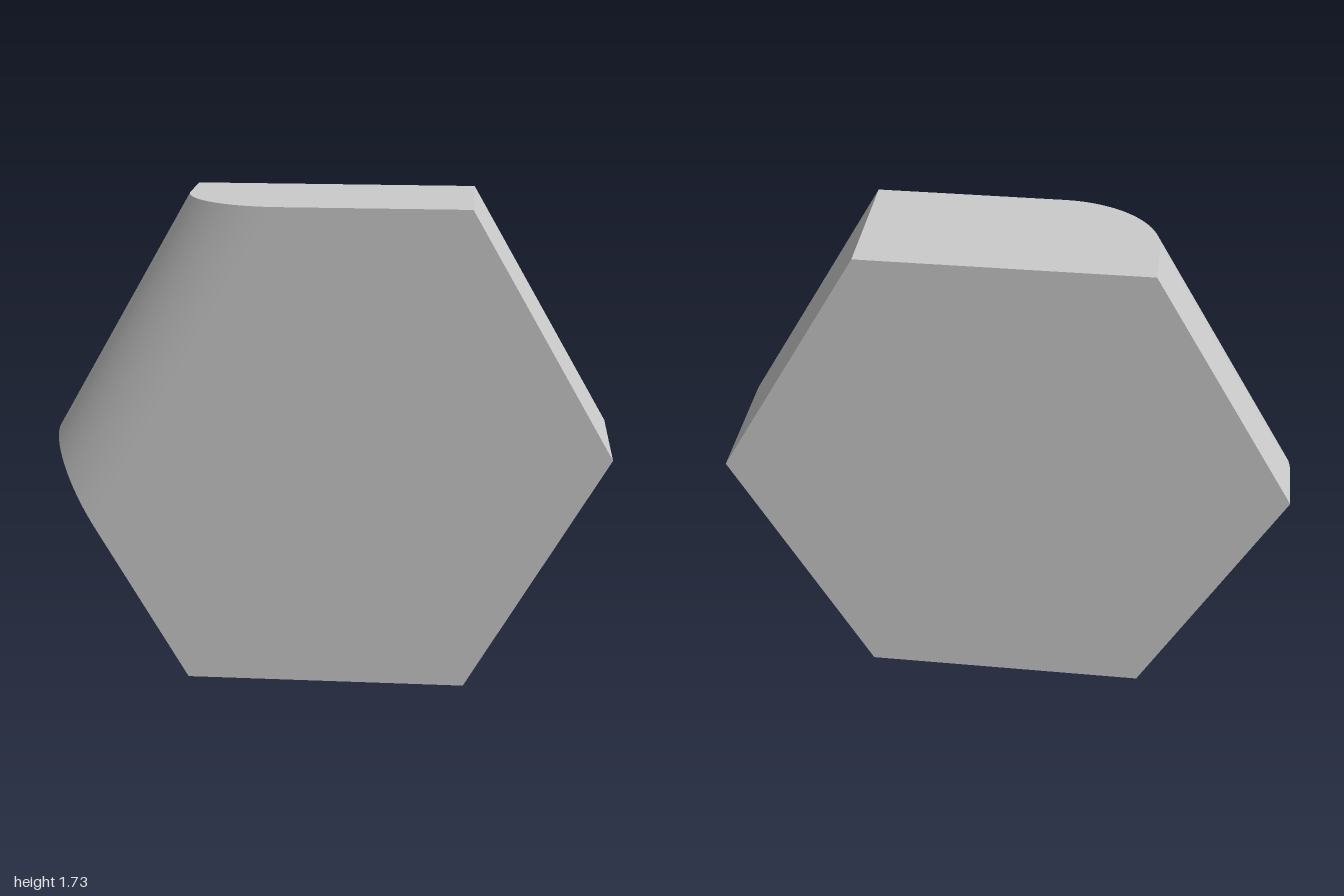
import * as THREE from 'three';

const HALF = 0.25;              // half thickness
const FILLET = 0.3;             // radius of the rounded edge
const STEPS = 24;
const S = Math.sin(Math.PI / 3);
const ROUNDED_SIDE = 2;         // upper side at -x

const corner = (i) => new THREE.Vector2(Math.cos(i * Math.PI / 3), Math.sin(i * Math.PI / 3));

// Hexagon at depth z with the rounded side moved inwards by d
function ring(z, d) {
  const pts = Array.from({ length: 6 }, (_, i) => corner(i));
  const slide = d / S;
  const a = ROUNDED_SIDE, b = a + 1;
  pts[a].lerp(corner(a - 1), slide);
  pts[b].lerp(corner(b + 1), slide);
  return pts.map((p) => new THREE.Vector3(p.x, p.y + S, z));
}

function hexagonGeometry() {
  const positions = [], normals = [];
  const add = (p, n) => { positions.push(p.x, p.y, p.z); normals.push(n.x, n.y, n.z); };

  // Straight wall first, then a quarter-round towards the front
  const levels = [{ t: 0, pts: ring(-HALF, 0) }];
  for (let i = 0; i <= STEPS; i++) {
    const t = i / STEPS * Math.PI / 2;
    const z = HALF - FILLET + FILLET * Math.sin(t);
    levels.push({ t, pts: ring(z, FILLET * (1 - Math.cos(t))) });
  }

  // Six sides; only the rounded one turns its normal towards the front
  for (let k = 0; k < 6; k++) {
    const angle = (k + 0.5) * Math.PI / 3;
    const normalAt = (t) => {
      const u = k === ROUNDED_SIDE ? t : 0;
      return new THREE.Vector3(Math.cos(angle) * Math.cos(u), Math.sin(angle) * Math.cos(u), Math.sin(u));
    };
    for (let j = 0; j < levels.length - 1; j++) {
      const lo = levels[j], hi = levels[j + 1], m = (k + 1) % 6;
      const nl = normalAt(lo.t), nh = normalAt(hi.t);
      add(lo.pts[k], nl); add(lo.pts[m], nl); add(hi.pts[m], nh);
      add(lo.pts[k], nl); add(hi.pts[m], nh); add(hi.pts[k], nh);
    }
  }

  // Flat back and front faces
  const back = levels[0].pts, front = levels[levels.length - 1].pts;
  const nb = new THREE.Vector3(0, 0, -1), nf = new THREE.Vector3(0, 0, 1);
  for (let i = 1; i < 5; i++) {
    add(front[0], nf); add(front[i], nf); add(front[i + 1], nf);
    add(back[0], nb); add(back[i + 1], nb); add(back[i], nb);
  }

  const geometry = new THREE.BufferGeometry();
  geometry.setAttribute('position', new THREE.Float32BufferAttribute(positions, 3));
  geometry.setAttribute('normal', new THREE.Float32BufferAttribute(normals, 3));
  return geometry;
}

export function createModel() {
  const group = new THREE.Group();
  const block = new THREE.Mesh(hexagonGeometry(), new THREE.MeshStandardMaterial({ color: 0xcccccc }));
  block.name = 'hexagonalBlock';
  group.add(block);
  return group;
}
